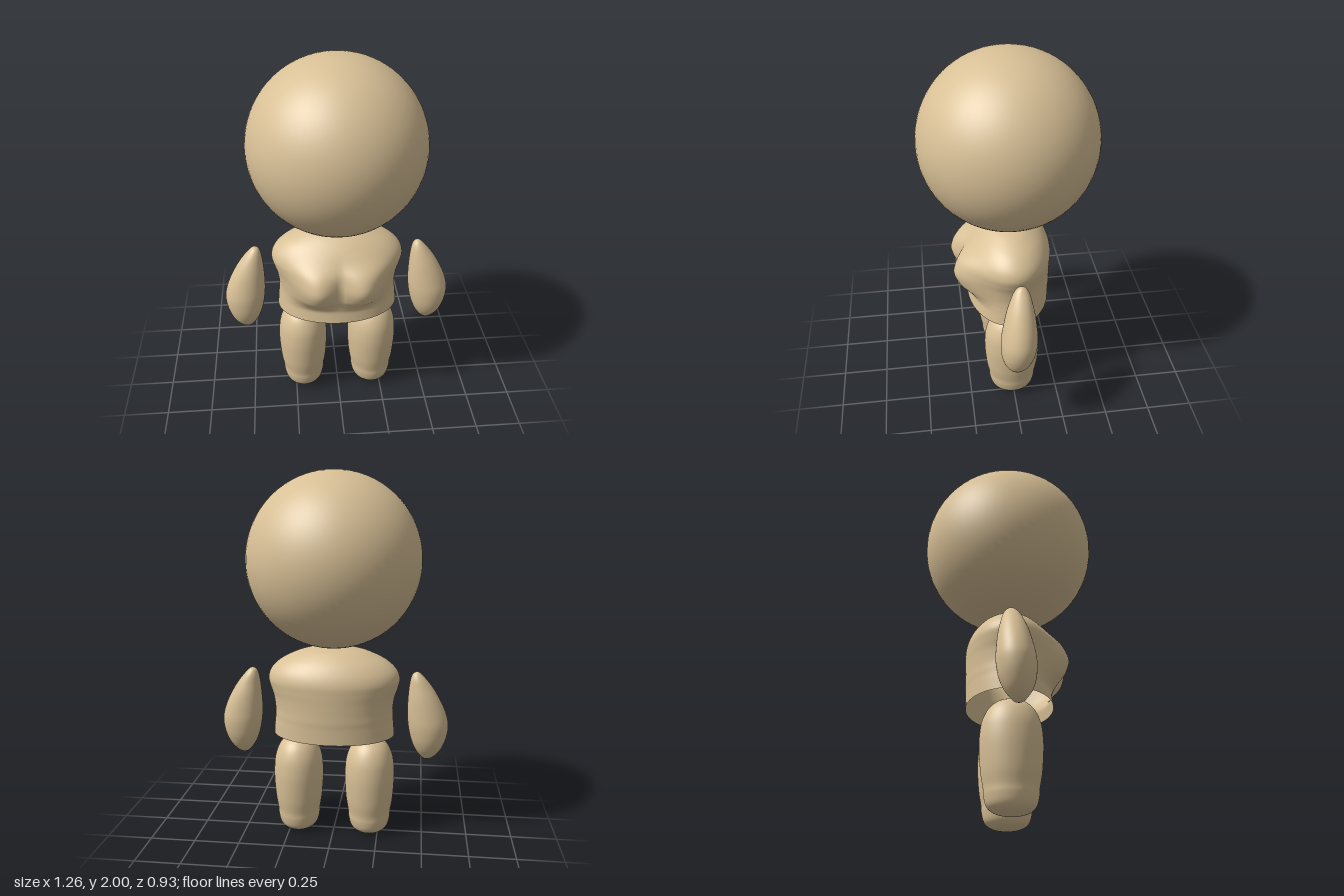
import * as THREE from 'three';
import { mergeVertices } from 'three/addons/utils/BufferGeometryUtils.js';

// Smooth skin over elliptical sections, listed from the bottom up:
// [y, centre x, radius x, centre z, radius z, chest bulge]
function loft(rows, steps = 64, sides = 64) {
  const curves = [1, 2, 3, 4, 5].map(
    (c) => new THREE.SplineCurve(rows.map((r) => new THREE.Vector2(r[0], r[c] ?? 0))));
  const positions = [];
  const index = [];
  for (let i = 0; i <= steps; i++) {
    const pts = curves.map((c) => c.getPoint(i / steps));
    const [cx, rx, cz, rz, bulge] = pts.map((p) => p.y);
    for (let j = 0; j < sides; j++) {
      const a = (j / sides) * Math.PI * 2;
      const x = Math.max(rx, 0) * Math.cos(a);
      let z = Math.max(rz, 0) * Math.sin(a);
      // two soft mounds on the front, with a shallow groove between
      if (z > 0) {
        const d = (Math.abs(x) - 0.13) / 0.125;
        z += Math.max(bulge, 0) * Math.exp(-d * d) * Math.min(1, Math.sin(a) * 1.5);
      }
      positions.push(cx + x, pts[0].x, cz + z);
      if (i < steps) {
        const k = (j + 1) % sides;
        const p = i * sides + j, q = i * sides + k;
        index.push(p, p + sides, q, q, p + sides, q + sides);
      }
    }
  }
  const geo = new THREE.BufferGeometry();
  geo.setAttribute('position', new THREE.Float32BufferAttribute(positions, 3));
  geo.setIndex(index);
  const welded = mergeVertices(geo, 1e-5);
  welded.computeVertexNormals();
  return welded;
}

export function createModel() {
  const group = new THREE.Group();
  // the torso is an open shell, so its inside shows too
  const tan = new THREE.MeshStandardMaterial({ color: 0xd8c096, side: THREE.DoubleSide });
  tan.name = 'tan';

  const add = (name, geo) => {
    const mesh = new THREE.Mesh(geo, tan);
    mesh.name = name;
    group.add(mesh);
    return mesh;
  };

  // Head
  add('head', new THREE.SphereGeometry(0.465, 64, 48)).position.y = 1.535;

  // Torso, open at the bottom
  add('torso', loft([
    [0.58, 0, 0.335, 0.007, 0.228, 0],
    [0.64, 0, 0.33, 0.003, 0.225, 0],
    [0.67, 0, 0.327, 0.002, 0.225, 0.012],
    [0.70, 0, 0.325, 0, 0.225, 0.04],
    [0.74, 0, 0.325, 0, 0.225, 0.077],
    [0.80, 0, 0.334, 0, 0.226, 0.1],
    [0.85, 0, 0.35, 0, 0.227, 0.09],
    [0.90, 0, 0.36, 0, 0.225, 0.06],
    [0.95, 0, 0.342, 0, 0.207, 0.018],
    [1.0, 0, 0.288, 0, 0.172, 0],
    [1.04, 0, 0.208, 0, 0.124, 0],
    [1.06, 0, 0.145, 0, 0.085, 0],
    [1.072, 0, 0.065, 0, 0.038, 0],
    [1.075, 0, 0, 0, 0, 0],
  ], 96, 96));

  // Arms: [y, inner x, outer x, centre z, radius z]
  const arm = [
    [0.44, 0.513, 0.513, 0.02, 0],
    [0.445, 0.496, 0.535, 0.02, 0.02],
    [0.46, 0.478, 0.56, 0.02, 0.037],
    [0.50, 0.45, 0.592, 0.018, 0.066],
    [0.55, 0.429, 0.614, 0.015, 0.085],
    [0.60, 0.416, 0.626, 0.012, 0.093],
    [0.65, 0.408, 0.628, 0.009, 0.095],
    [0.70, 0.404, 0.617, 0.006, 0.09],
    [0.75, 0.404, 0.598, 0.003, 0.083],
    [0.80, 0.406, 0.573, 0, 0.074],
    [0.85, 0.41, 0.543, -0.003, 0.061],
    [0.90, 0.417, 0.505, -0.007, 0.045],
    [0.93, 0.427, 0.477, -0.009, 0.028],
    [0.942, 0.441, 0.463, -0.01, 0.012],
    [0.945, 0.452, 0.452, -0.01, 0],
  ];

  // Legs: [y, radius], slightly deeper than wide
  const leg = [
    [0, 0], [0.004, 0.045], [0.018, 0.082], [0.045, 0.106], [0.09, 0.117], [0.13, 0.12],
    [0.2, 0.131], [0.3, 0.138], [0.37, 0.138], [0.44, 0.13], [0.5, 0.108],
    [0.54, 0.075], [0.56, 0.035], [0.565, 0],
  ];

  for (const [side, s] of [['left', 1], ['right', -1]]) {
    add(side + 'Arm', loft(arm.map(([y, a, b, cz, rz]) => [y, s * (a + b) / 2, (b - a) / 2, cz, rz])));
    add(side + 'Leg', loft(leg.map(([y, r]) => [y, s * 0.201, r, 0.005, r * 1.12])));
  }
  return group;
}
